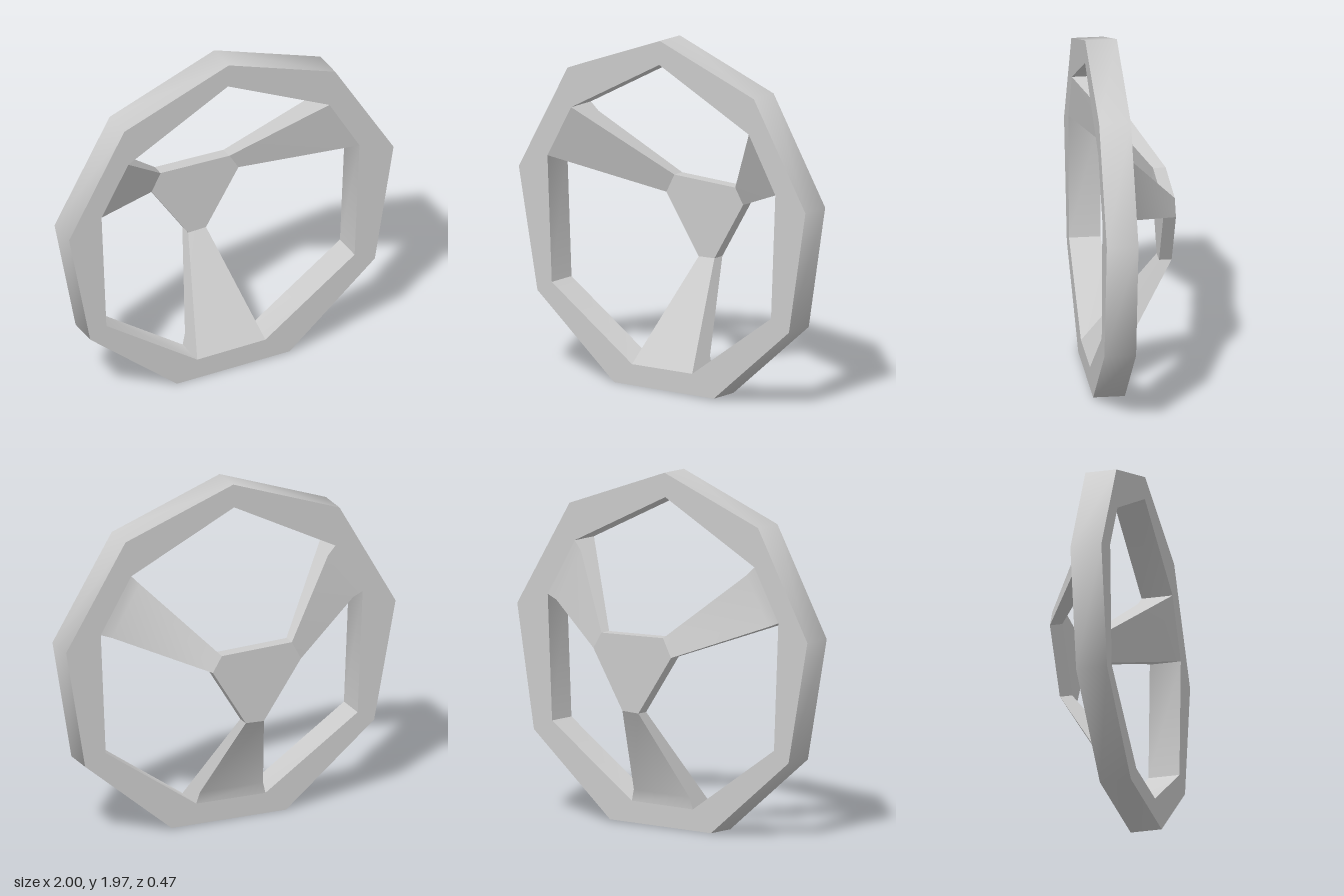
import * as THREE from 'three';
import { toCreasedNormals } from 'three/addons/utils/BufferGeometryUtils.js';

const RIM_BACK = 0.06, RIM_FRONT = 0.235, HUB_BACK = -0.235, HUB_FRONT = -0.165;

// Corner points [x, y], clockwise from the top as seen from the front
const outer = [[-0.015, 1.98], [0.64, 1.75], [1, 1.16], [0.885, 0.47], [0.36, 0.02],
  [-0.335, 0.01], [-0.87, 0.45], [-1, 1.13], [-0.66, 1.735]];
const inner = [[-0.02, 1.845], [0.605, 1.545], [0.79, 1.23], [0.76, 0.53], [0.21, 0.138],
  [-0.21, 0.13], [-0.77, 0.51], [-0.8, 1.22], [-0.635, 1.515]];
// Hub corners in pairs, one pair per spoke
const hubPts = [[0.195, 1.11], [0.25, 1.02], [0.05, 0.69], [-0.06, 0.685], [-0.285, 1.015], [-0.23, 1.12]];

// Skin a row of four-cornered cross-sections
function loft(sections, closed) {
  const pos = [];
  const n = sections.length;
  for (let i = 0; i < (closed ? n : n - 1); i++) {
    const s = sections[i], t = sections[(i + 1) % n];
    for (let j = 0; j < 4; j++) {
      const k = (j + 1) % 4;
      pos.push(...s[j], ...s[k], ...t[k], ...s[j], ...t[k], ...t[j]);
    }
  }
  const g = new THREE.BufferGeometry();
  g.setAttribute('position', new THREE.Float32BufferAttribute(pos, 3));
  return toCreasedNormals(g, 0.8);
}

const section = (p, q, back, front) =>
  [[...p, back], [...p, front], [...q, front], [...q, back]];
const mix = (a, b, t) => [a[0] + (b[0] - a[0]) * t, a[1] + (b[1] - a[1]) * t];

export function createModel() {
  const group = new THREE.Group();
  const material = new THREE.MeshStandardMaterial({ color: 0xcccccc });
  const add = (name, geometry) => {
    const mesh = new THREE.Mesh(geometry, material);
    mesh.name = name;
    group.add(mesh);
    return mesh;
  };

  // Nine-sided rim
  add('rim', loft(outer.map((p, i) => section(p, inner[i], RIM_BACK, RIM_FRONT)), true));

  // Three tapering spokes, dished back from the rim to the hub
  ['leftSpoke', 'bottomSpoke', 'rightSpoke'].forEach((name, i) => {
    const a = inner[i * 3 + 1], b = inner[i * 3 + 2];
    const c = hubPts[i * 2], d = hubPts[i * 2 + 1];
    const t = 0.12;
    add(name, loft([
      section(b, a, RIM_BACK, RIM_FRONT),
      section(mix(b, d, t), mix(a, c, t), RIM_BACK - 0.007, RIM_FRONT + (HUB_FRONT - RIM_FRONT) * t),
      section(d, c, HUB_BACK, HUB_FRONT),
    ], false));
  });

  // Flat hub plate
  const shape = new THREE.Shape(hubPts.map(p => new THREE.Vector2(...p)));
  add('hub', new THREE.ExtrudeGeometry(shape, { depth: HUB_FRONT - HUB_BACK, bevelEnabled: false }))
    .position.z = HUB_BACK;

  return group;
}
